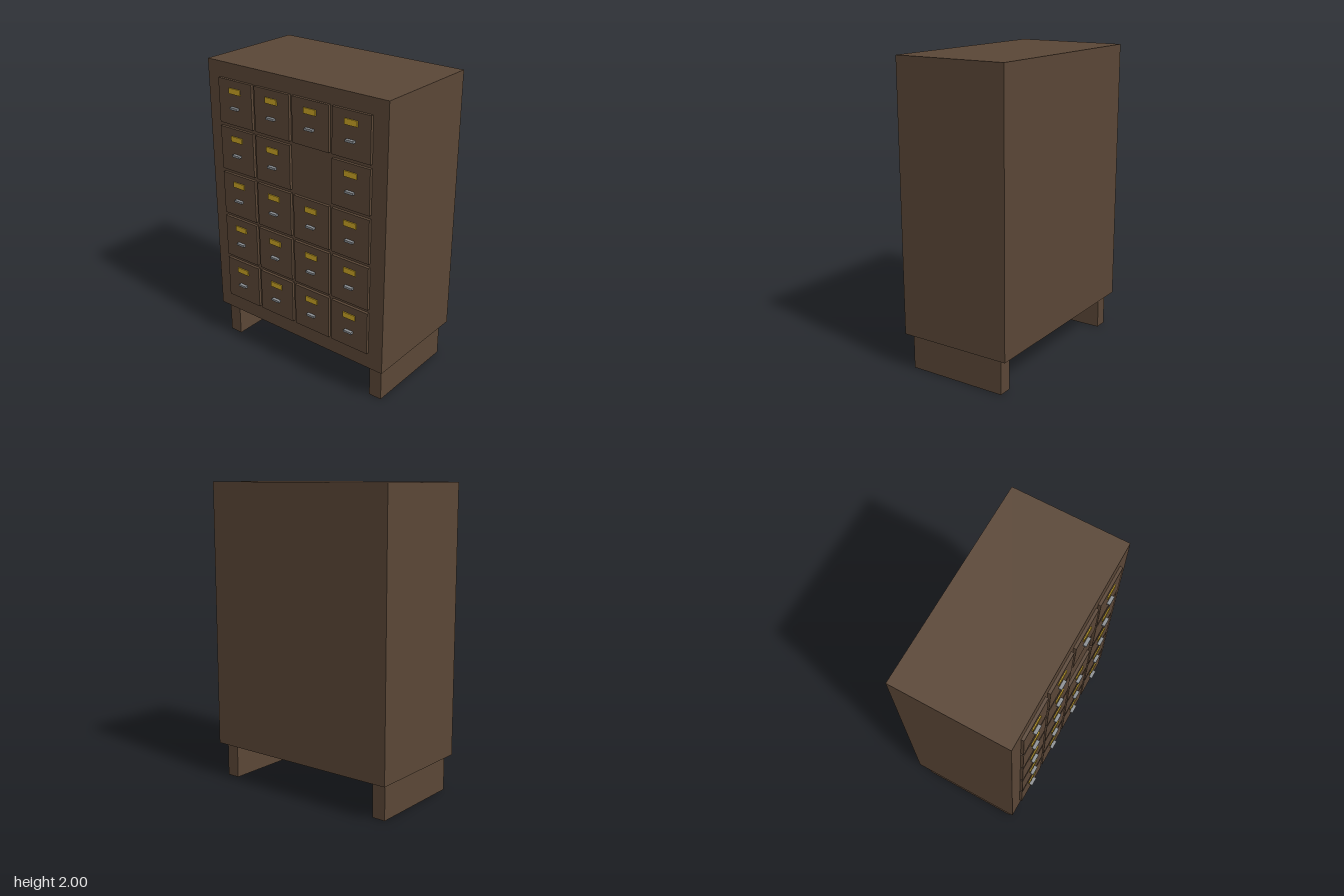
import * as THREE from 'three';

const wood = new THREE.MeshStandardMaterial({ color: 0x5a4636 });
const brass = new THREE.MeshStandardMaterial({ color: 0xc9a424 });
const steel = new THREE.MeshStandardMaterial({ color: 0x8c9094 });

// Box given by its size and centre
function box(name, material, [w, h, d], [x, y, z]) {
  const mesh = new THREE.Mesh(new THREE.BoxGeometry(w, h, d), material);
  mesh.name = name;
  mesh.position.set(x, y, z);
  return mesh;
}

// Drawer front with its label plate and pull; the origin lies on the cabinet face
function createDrawer() {
  const drawer = new THREE.Group();
  drawer.name = 'drawer';
  drawer.add(
    box('drawerFront', wood, [0.276, 0.29, 0.03], [0, 0, 0.004]),
    box('labelPlate', brass, [0.092, 0.036, 0.012], [0, 0.077, 0.02]),
    box('drawerPull', steel, [0.06, 0.014, 0.024], [0, -0.031, 0.028]),
  );
  return drawer;
}

export function createModel() {
  const cabinet = new THREE.Group();
  cabinet.name = 'drawerCabinet';

  const bodyFront = 0.363;
  cabinet.add(box('cabinetBody', wood, [1.382, 1.765, 0.766], [0, 1.1175, -0.02]));

  // Plank feet running front to back
  for (const side of [-1, 1]) {
    cabinet.add(box(side > 0 ? 'leftFoot' : 'rightFoot', wood,
      [0.09, 0.235, 0.674], [side * 0.615, 0.1175, -0.017]));
  }

  // Grid of drawers, with one space left blank
  const columns = 4, rows = 5;
  for (let row = 0; row < rows; row++) {
    for (let column = 0; column < columns; column++) {
      if (row === 3 && column === 2) continue;
      const drawer = createDrawer();
      drawer.position.set(-0.451 + column * 0.3, 0.493 + row * 0.3155, bodyFront);
      cabinet.add(drawer);
    }
  }
  return cabinet;
}
